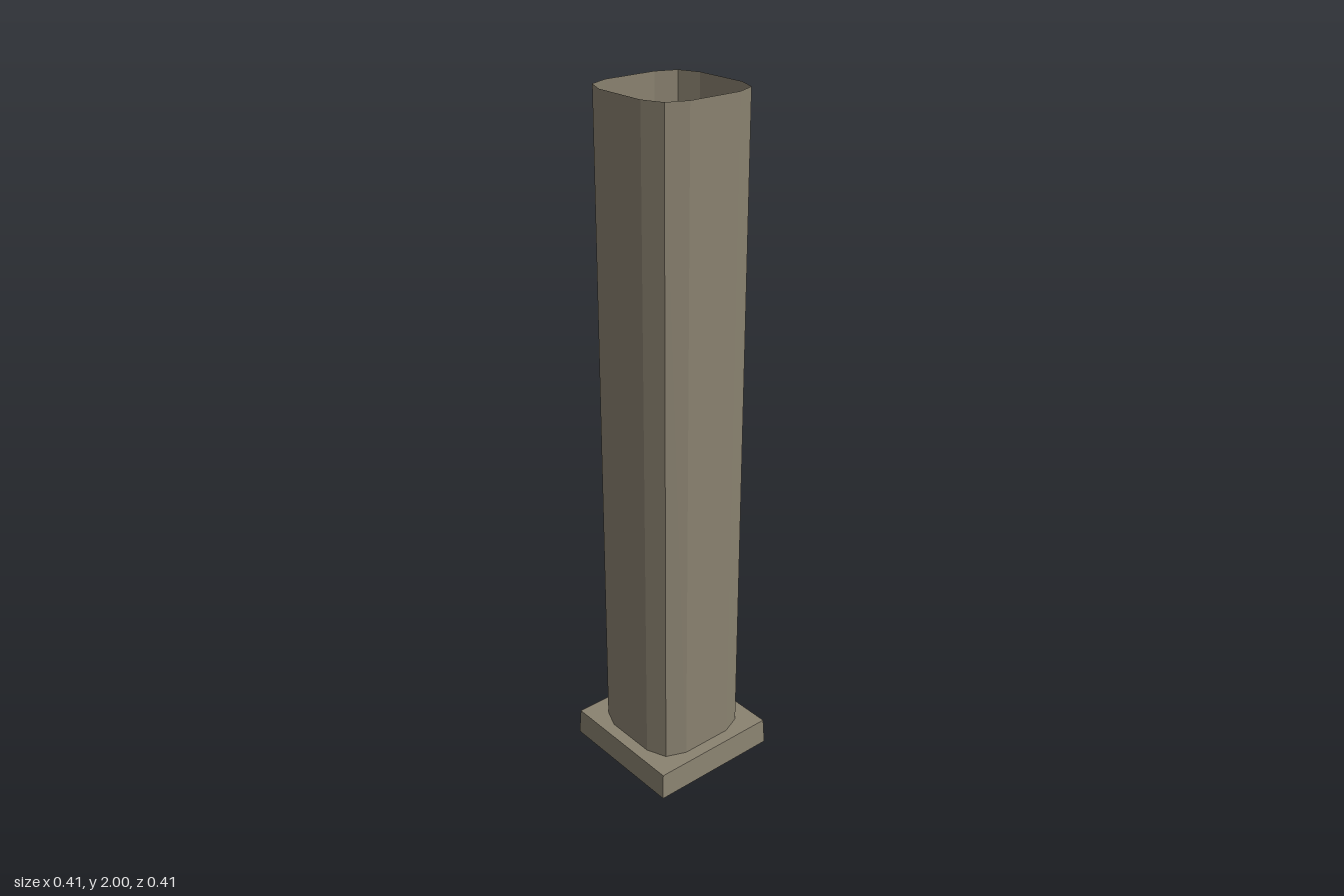
import * as THREE from 'three';

// Open-ended wall between two horizontal outlines with matching corners
function wall(lower, y0, upper, y1) {
  const pos = [];
  const n = lower.length;
  for (let i = 0; i < n; i++) {
    const j = (i + 1) % n;
    const a = [lower[i].x, y0, lower[i].y], b = [lower[j].x, y0, lower[j].y];
    const c = [upper[j].x, y1, upper[j].y], d = [upper[i].x, y1, upper[i].y];
    pos.push(...a, ...c, ...b, ...a, ...d, ...c);
  }
  const geo = new THREE.BufferGeometry();
  geo.setAttribute('position', new THREE.Float32BufferAttribute(pos, 3));
  geo.computeVertexNormals();
  return geo;
}

// Repeat the corner points of one quadrant around the axis
function fourfold(points) {
  const out = [];
  for (let q = 0; q < 4; q++) {
    for (const [x, y] of points) {
      out.push(new THREE.Vector2(x, y).rotateAround(new THREE.Vector2(), q * Math.PI / 2));
    }
  }
  return out;
}

export function createModel() {
  const stone = new THREE.MeshStandardMaterial({ color: 0x8a8270, flatShading: true, side: THREE.DoubleSide });
  stone.name = 'weathered stone';

  const model = new THREE.Group();
  model.name = 'column';
  const add = (name, geo) => {
    const mesh = new THREE.Mesh(geo, stone);
    mesh.name = name;
    model.add(mesh);
    return mesh;
  };

  const baseHeight = 0.08;
  const shaftOutline = fourfold([[0.163, 0.08], [0.139, 0.139], [0.08, 0.163]]);
  const baseBottom = fourfold([[0.204, 0.204]]);
  const baseTop = fourfold([[0.2, 0.2]]);

  // Hollow shaft with chamfered corners, open at both ends
  add('shaft', wall(shaftOutline, baseHeight, shaftOutline, 2));

  // Slightly tapered plinth sides, open underneath
  add('plinthSides', wall(baseBottom, 0, baseTop, baseHeight));

  // Plinth top, pierced by the shaft opening
  const ledge = new THREE.Shape(baseTop);
  ledge.holes.push(new THREE.Path(shaftOutline));
  const ledgeGeo = new THREE.ShapeGeometry(ledge).rotateX(-Math.PI / 2);
  add('plinthLedge', ledgeGeo).position.y = baseHeight;

  return model;
}
